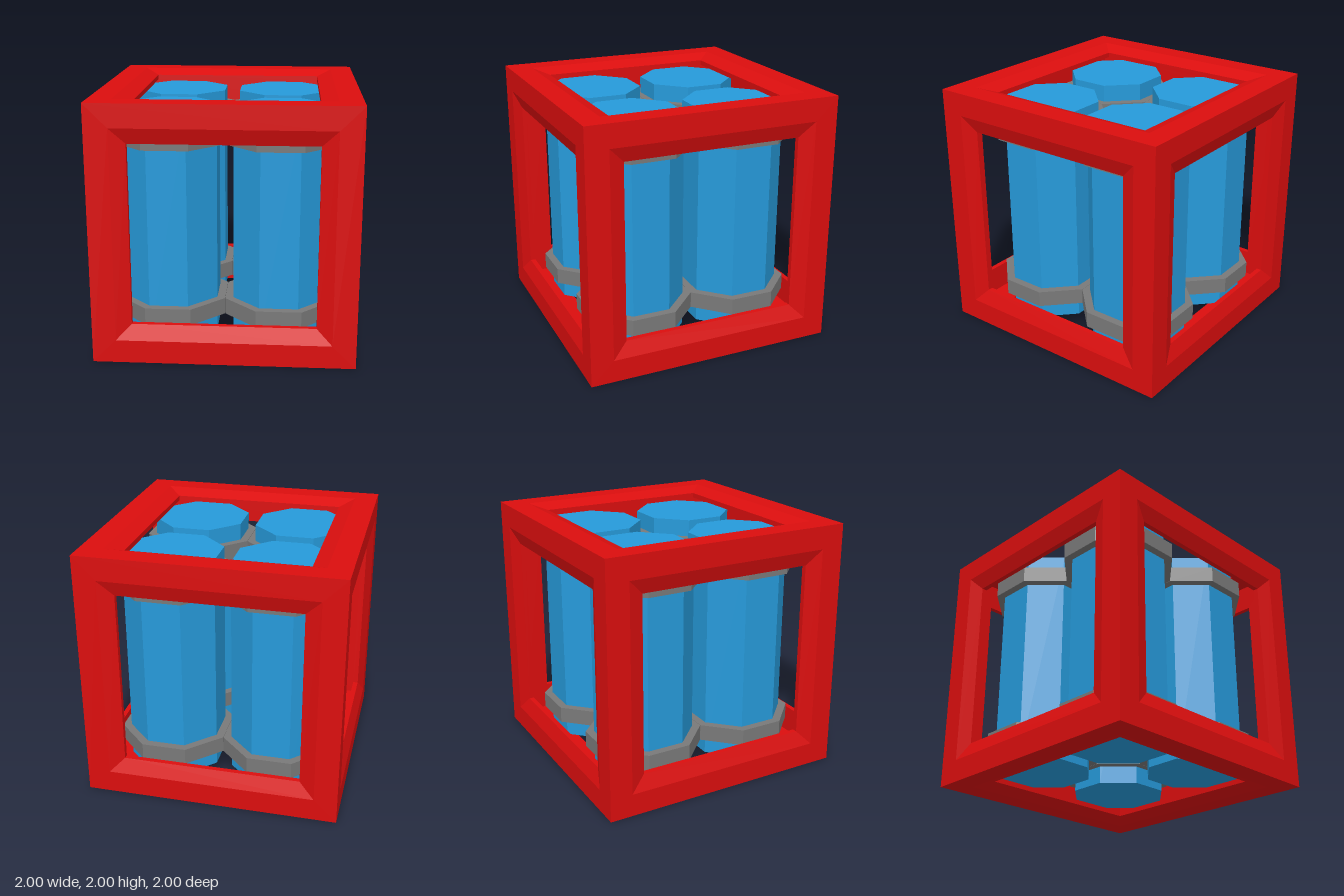
import * as THREE from 'three';

const red = new THREE.MeshStandardMaterial({ color: 0xdb0e0e });
red.name = 'frame red';
const blue = new THREE.MeshStandardMaterial({ color: 0x269ada });
blue.name = 'cell blue';
const grey = new THREE.MeshStandardMaterial({ color: 0x797979 });
grey.name = 'band grey';

// Split vertices so that every face is flat
function faceted(geometry) {
  const flat = geometry.toNonIndexed();
  flat.computeVertexNormals();
  return flat;
}

// Eight-sided prism with flat sides facing x and z
function octagonPrism(apothem, bottom, top) {
  const radius = apothem / Math.cos(Math.PI / 8);
  const geometry = new THREE.CylinderGeometry(radius, radius, top - bottom, 8, 1, false, Math.PI / 8);
  geometry.translate(0, (bottom + top) / 2, 0);
  return faceted(geometry);
}

// One square side of the cube: flat border, bevel, thin lip and inner face
function frameSideGeometry() {
  const profile = [[1, 1], [0.82, 1], [0.7, 0.955], [0.7, 0.915], [0.915, 0.915]]
    .map(([half, depth]) => new THREE.Vector2(half * Math.SQRT2, depth));
  return faceted(new THREE.LatheGeometry(profile, 4, Math.PI / 4));
}

export function createModel() {
  const model = new THREE.Group();
  model.name = 'cellBlock';
  const add = (parent, name, geometry, material) => {
    const mesh = new THREE.Mesh(geometry, material);
    mesh.name = name;
    parent.add(mesh);
    return mesh;
  };

  // Cubic frame from six mitred sides
  const frame = new THREE.Group();
  frame.name = 'frame';
  frame.position.y = 1;
  model.add(frame);
  const side = frameSideGeometry();
  const h = Math.PI / 2;
  const turns = {
    frameTop: [0, 0], frameBottom: [Math.PI, 0],
    frameFront: [h, 0], frameBack: [-h, 0],
    frameRight: [0, h], frameLeft: [0, -h],
  };
  for (const [name, [rx, rz]] of Object.entries(turns)) {
    add(frame, name, side, red).rotation.set(rx, 0, rz);
  }

  // Four octagonal cells, each with a band near both ends
  const cell = octagonPrism(0.362, 0.11, 1.89);
  const lowerBand = octagonPrism(0.424, 0.25, 0.38);
  const upperBand = octagonPrism(0.424, 1.625, 1.755);
  for (const x of [-0.44, 0.41]) {
    for (const z of [-0.43, 0.42]) {
      const unit = new THREE.Group();
      unit.name = `${z > 0 ? 'front' : 'back'}${x > 0 ? 'Left' : 'Right'}Cell`;
      unit.position.set(x, 0, z);
      add(unit, 'cellBody', cell, blue);
      add(unit, 'lowerBand', lowerBand, grey);
      add(unit, 'upperBand', upperBand, grey);
      model.add(unit);
    }
  }
  return model;
}
